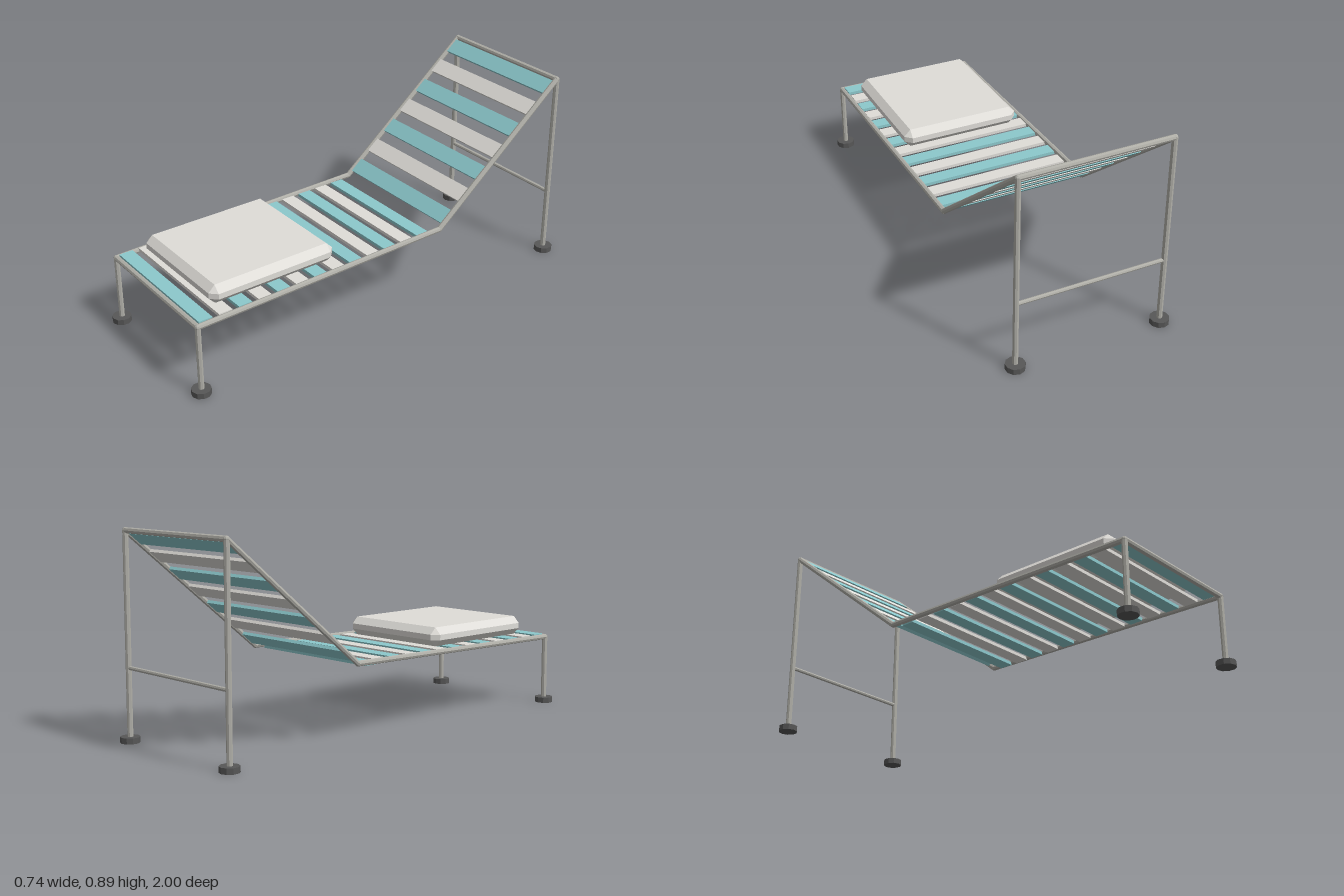
import * as THREE from 'three';
import { ConvexGeometry } from 'three/addons/geometries/ConvexGeometry.js';

const material = (name, color) => {
  const m = new THREE.MeshStandardMaterial({ color });
  m.name = name;
  return m;
};

// Faceted normals for the low-poly look
const faceted = (geometry) => {
  const g = geometry.index ? geometry.toNonIndexed() : geometry;
  g.computeVertexNormals();
  return g;
};

export function createModel() {
  const model = new THREE.Group();
  model.name = 'sunLounger';
  const metal = material('brushed metal', 0xb0afa8);
  const teal = material('teal strap', 0x8cc8cc);
  const cream = material('pale grey fabric', 0xdfddd8);
  const rubber = material('dark rubber', 0x575757);

  const add = (name, geometry, mat, x = 0, y = 0, z = 0) => {
    const mesh = new THREE.Mesh(faceted(geometry), mat);
    mesh.name = name;
    mesh.position.set(x, y, z);
    model.add(mesh);
    return mesh;
  };

  // Eight-sided tube between two points
  const tube = (name, a, b, r = 0.0125) => {
    const from = new THREE.Vector3(...a), to = new THREE.Vector3(...b);
    const dir = to.clone().sub(from);
    const mid = from.clone().add(to).multiplyScalar(0.5);
    const mesh = add(name, new THREE.CylinderGeometry(r, r, dir.length(), 8), metal, mid.x, mid.y, mid.z);
    mesh.quaternion.setFromUnitVectors(new THREE.Vector3(0, 1, 0), dir.normalize());
  };
  const joint = (p) => add('tubeJoint', new THREE.SphereGeometry(0.013, 8, 6), metal, ...p);

  const railX = 0.3325, endZ = 0.957;
  const frontY = 0.316, topY = 0.882;
  const bendY = 0.335, bendZ = -0.285;

  // Side rails, legs and feet
  for (const x of [-railX, railX]) {
    const front = [x, frontY, endZ], bend = [x, bendY, bendZ], top = [x, topY, -endZ];
    tube('seatRail', front, bend);
    tube('backrestRail', bend, top);
    tube('frontLeg', [x, 0.01, endZ], front);
    tube('rearLeg', [x, 0.01, -endZ], top);
    [front, bend, top].forEach(joint);
    for (const z of [-endZ - 0.001, endZ + 0.001])
      add('foot', new THREE.CylinderGeometry(0.042, 0.042, 0.025, 10), rubber, x, 0.0125, z);
  }

  // Crossbars
  tube('frontCrossbar', [-railX, frontY, endZ], [railX, frontY, endZ]);
  tube('topCrossbar', [-railX, topY, -endZ], [railX, topY, -endZ]);
  tube('rearBrace', [-railX, 0.315, -endZ], [railX, 0.315, -endZ], 0.009);

  // Seat slats, alternating colours
  for (let i = 0; i < 13; i++)
    add('seatSlat', new THREE.BoxGeometry(0.65, 0.014, 0.063), i % 2 ? cream : teal, 0, 0.325, 0.915 - i * 0.0933);

  // Backrest slats follow the slope of the rails
  const slope = Math.atan2(topY - bendY, bendZ + endZ);
  for (let i = 0; i < 7; i++) {
    const slat = add('backrestSlat', new THREE.BoxGeometry(0.65, 0.014, 0.073), i % 2 ? cream : teal,
      0, 0.376 + i * 0.079, -0.334 - i * 0.0967);
    slat.rotation.x = slope;
  }

  // Cushion: a box with every edge chamfered
  const half = [0.28, 0.0425, 0.305], bevel = 0.03, points = [];
  for (let axis = 0; axis < 3; axis++)
    for (const sx of [-1, 1]) for (const sy of [-1, 1]) for (const sz of [-1, 1]) {
      const c = half.map((h, k) => (k === axis ? h : h - bevel));
      points.push(new THREE.Vector3(c[0] * sx, c[1] * sy, c[2] * sz));
    }
  add('cushion', new ConvexGeometry(points), cream, 0, 0.3775, 0.548);

  return model;
}
